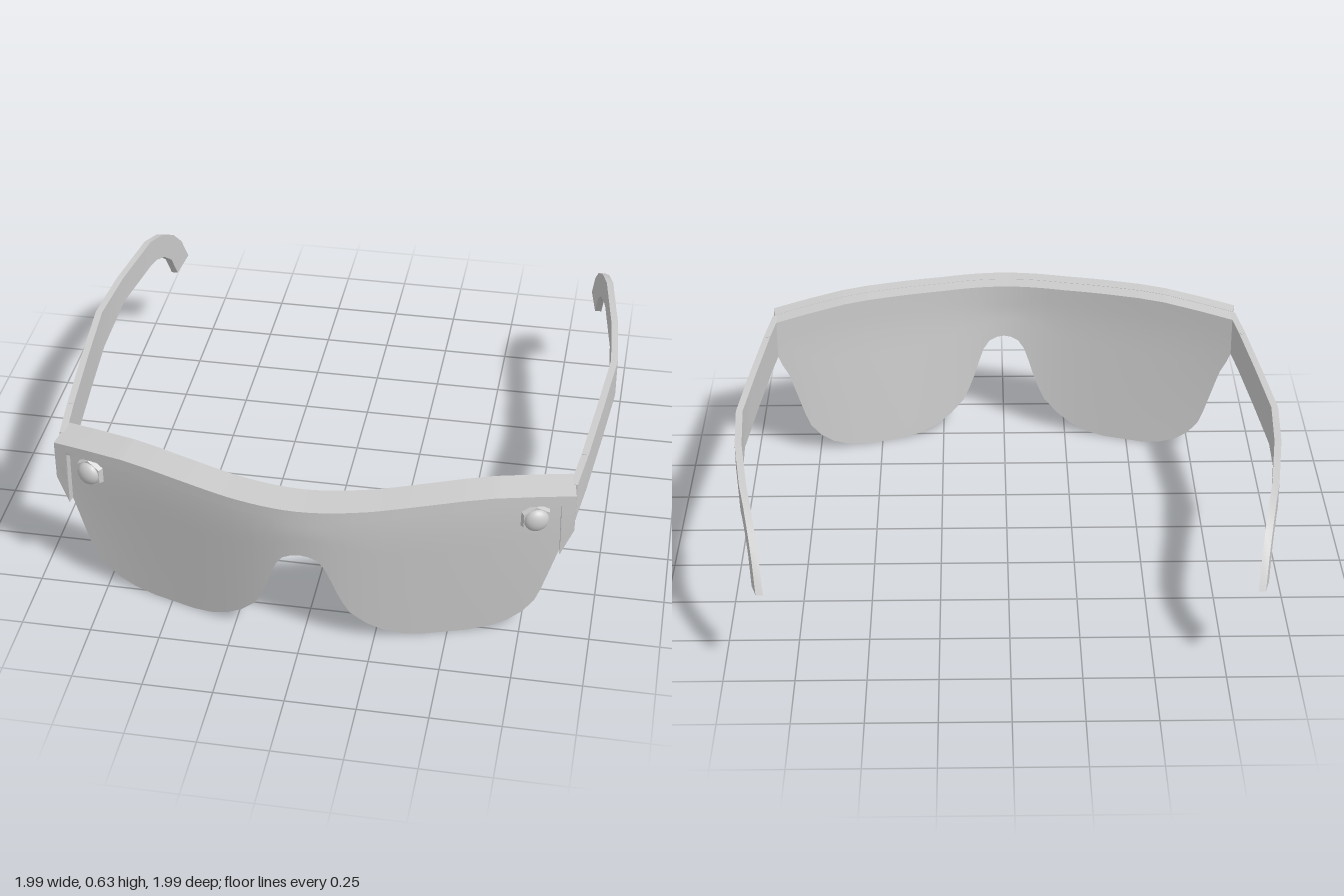
import * as THREE from 'three';
import { toCreasedNormals } from 'three/addons/utils/BufferGeometryUtils.js';

const material = new THREE.MeshStandardMaterial({ color: 0xcccccc });

// Half outlines as [x, y], mirrored about x = 0
const BOTTOM = [[0, 0.4], [0.03, 0.395], [0.06, 0.38], [0.085, 0.345], [0.105, 0.29], [0.125, 0.23], [0.145, 0.18],
  [0.17, 0.13], [0.225, 0.075], [0.285, 0.035], [0.35, 0.01], [0.42, 0], [0.57, 0], [0.65, 0.012], [0.71, 0.035],
  [0.76, 0.07], [0.8, 0.12], [0.82, 0.17], [0.842, 0.24], [0.87, 0.33], [0.88, 0.36], [0.905, 0.41], [0.92, 0.45]];
const TOP = [[0, 0.618], [0.25, 0.619], [0.4, 0.625], [0.55, 0.629], [0.65, 0.627], [0.8, 0.612], [0.92, 0.597]];
const LIP = [[0, 0.578], [0.25, 0.576], [0.4, 0.582], [0.55, 0.586], [0.65, 0.583], [0.8, 0.571], [0.872, 0.563],
  [0.876, 0.35], [0.92, 0.45]];
const THICK = 0.13;

function lerpTable(table, x) {
  let i = 1;
  while (i < table.length - 1 && table[i][0] < x) i++;
  const [x0, y0] = table[i - 1], [x1, y1] = table[i];
  return y0 + (y1 - y0) * THREE.MathUtils.clamp((x - x0) / (x1 - x0), 0, 1);
}

// Skin equal rings of points, closed at both ends
function loft(rings, crease) {
  const n = rings[0].length, last = (rings.length - 1) * n, index = [];
  for (let i = 0; i < rings.length - 1; i++) {
    for (let j = 0; j < n; j++) {
      const a = i * n + j, d = i * n + (j + 1) % n;
      index.push(a, a + n, d + n, a, d + n, d);
    }
  }
  for (let j = 0; j < n / 2 - 1; j++) {
    const p = j, q = j + 1, r = n - 2 - j, s = n - 1 - j;
    index.push(p, q, r, p, r, s);
    index.push(last + p, last + r, last + q, last + p, last + s, last + r);
  }
  const g = new THREE.BufferGeometry();
  g.setAttribute('position', new THREE.Float32BufferAttribute(rings.flat(2), 3));
  g.setIndex(index);
  return toCreasedNormals(g, crease);
}

// Wrap: front of the frame sweeps back from the nose and tucks in slightly below
function frontZ(x, y) {
  const sweep = Math.hypot(0.097, 0.39 * x) - 0.097;
  const tuck = 0.05 * THREE.MathUtils.clamp((0.5 - y) / 0.5, 0, 1) * (1 - Math.min(1, (x / 0.95) ** 4));
  return 0.99 - sweep - tuck;
}

// Curved plate between two outlines; depths are measured back from the front
function plate(low, high, front, back, drop = 0) {
  const half = new Set([...low, ...high].map(p => p[0]));
  for (let x = 0; x < 0.92; x += 0.04) half.add(Math.round(x * 100) / 100);
  const xs = [...new Set([...half].flatMap(x => (x ? [x, -x] : [0])))].sort((a, b) => a - b);
  const rows = 8;
  const rings = xs.map(x => {
    const ax = Math.abs(x), lo = lerpTable(low, ax), hi = lerpTable(high, ax) - drop;
    const point = (k, depth) => {
      const y = lo + (hi - lo) * k / rows;
      return [x * (1 - 0.02 * depth / THICK), y, frontZ(x, y) - depth];
    };
    const ring = [];
    for (let k = 0; k <= rows; k++) ring.push(point(k, front));
    for (let k = rows; k >= 0; k--) ring.push(point(k, back));
    return ring;
  });
  return loft(rings, 0.6);
}

// Arm sections: [top z, top y, bottom z, bottom y], and the bow of the arm as [-z, x]
const ARM = [[0.65, 0.597, 0.65, 0.445], [0.46, 0.597, 0.46, 0.445], [0.15, 0.598, 0.15, 0.445],
  [-0.14, 0.598, -0.14, 0.445], [-0.39, 0.599, -0.39, 0.495], [-0.68, 0.6, -0.67, 0.495],
  [-0.78, 0.575, -0.725, 0.491], [-0.88, 0.52, -0.79, 0.467], [-0.945, 0.455, -0.85, 0.42], [-1, 0.355, -0.9, 0.328]];
const BOW = [[-0.65, 0.905], [-0.59, 0.91], [-0.46, 0.928], [-0.15, 0.958], [0.16, 0.985], [0.4, 0.965],
  [0.68, 0.925], [0.9, 0.878], [1, 0.855]];

function arm(side) {
  const t = 0.0125;
  return loft(ARM.map(([zt, yt, zb, yb]) => {
    const xt = side * lerpTable(BOW, -zt), xb = side * lerpTable(BOW, -zb);
    return [[xb + t, yb, zb], [xt + t, yt, zt], [xt - t, yt, zt], [xb - t, yb, zb]];
  }), 0.45);
}

export function createModel() {
  const model = new THREE.Group();
  const add = (name, geometry, parent = model) => {
    const mesh = new THREE.Mesh(geometry, material);
    mesh.name = name;
    parent.add(mesh);
    return mesh;
  };

  // One-piece lens with a raised brow lip around its upper edge
  add('lens', plate(BOTTOM, TOP, 0.03, THICK, 0.001));
  add('browRim', plate(LIP, TOP, 0, 0.06));

  for (const side of [1, -1]) {
    const label = side > 0 ? 'left' : 'right';
    add(label + 'Arm', arm(side));

    // Hinge pin inside the arm
    add(label + 'HingePin', new THREE.CylinderGeometry(0.008, 0.008, 0.156, 8))
      .position.set(side * 0.925, 0.521, 0.465);

    // Hexagonal stud with a domed cap, facing along the lens normal
    const stud = new THREE.Group();
    stud.name = label + 'Stud';
    stud.position.set(side * 0.785, 0.505, frontZ(0.785, 0.505) - 0.03);
    stud.rotation.y = side * 0.36;
    const base = add('studBase', toCreasedNormals(new THREE.CylinderGeometry(0.052, 0.06, 0.024, 6), 0.4), stud);
    base.rotation.x = Math.PI / 2;
    base.position.z = 0.004;
    const dome = add('studDome', new THREE.SphereGeometry(0.044, 20, 8, 0, Math.PI * 2, 0, Math.PI / 2), stud);
    dome.rotation.x = Math.PI / 2;
    dome.scale.y = 0.65;
    dome.position.z = 0.014;
    model.add(stud);
  }
  return model;
}
